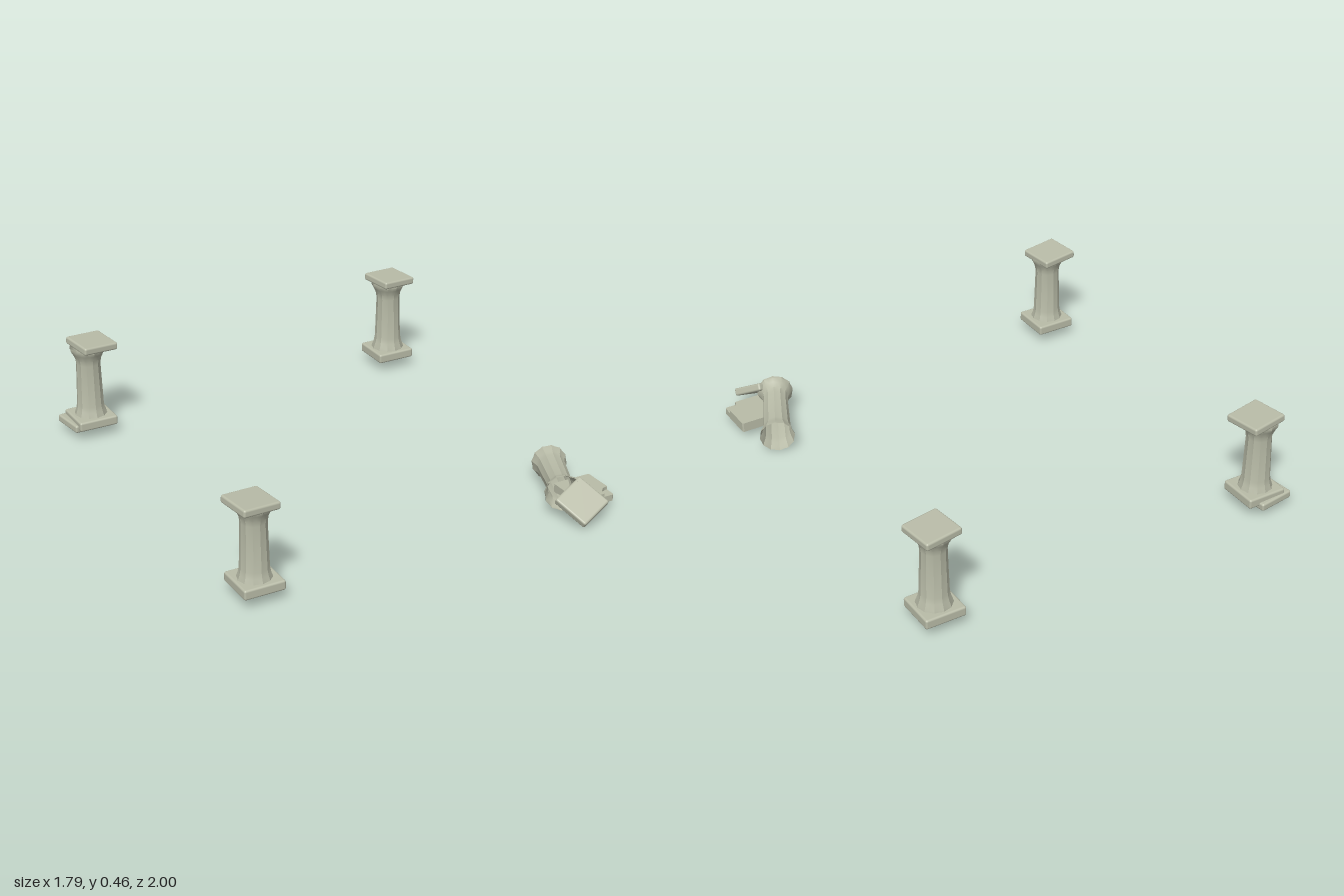
import * as THREE from 'three';
import { RoundedBoxGeometry } from 'three/addons/geometries/RoundedBoxGeometry.js';
import { toCreasedNormals } from 'three/addons/utils/BufferGeometryUtils.js';

const stone = new THREE.MeshStandardMaterial({ color: 0xb9bca8 });
const openStone = new THREE.MeshStandardMaterial({ color: 0xb9bca8, side: THREE.DoubleSide });

// Square slab with softened edges
function slab(name, size, thick, pos, rot = [0, 0, 0]) {
  const m = new THREE.Mesh(new RoundedBoxGeometry(size, thick, size, 2, 0.009), stone);
  m.name = name;
  m.position.set(...pos);
  m.rotation.set(...rot);
  return m;
}

// Hollow fluted shaft, flared at both ends, standing on its own origin
function shaftGeometry() {
  const profile = [
    [0.078, 0], [0.075, 0.015], [0.066, 0.04], [0.061, 0.065], [0.058, 0.16],
    [0.055, 0.265], [0.059, 0.29], [0.07, 0.315], [0.08, 0.332], [0.08, 0.345],
  ].map(([r, y]) => new THREE.Vector2(r, y));
  const geo = new THREE.LatheGeometry(profile, 24);
  const p = geo.attributes.position;
  for (let i = 0; i < p.count; i++) {
    const groove = 1 - 0.025 * (1 - Math.cos(12 * Math.atan2(p.getZ(i), p.getX(i)))) / 2 * 2;
    p.setX(i, p.getX(i) * groove);
    p.setZ(i, p.getZ(i) * groove);
  }
  return toCreasedNormals(geo, 0.6);
}

// Base slab whose upper layer has a bite out of one corner
function chippedBase(size, thick, pos) {
  const g = new THREE.Group();
  g.name = 'chippedBase';
  g.position.set(...pos);
  const h = size / 2, b = 0.05, c = 0.006;
  const layer = (bite, depth, y) => {
    const s = new THREE.Shape();
    s.moveTo(-h + c, -h);
    if (bite) {
      s.lineTo(h - b, -h);
      s.absarc(h, -h, b, Math.PI, Math.PI / 2, true);
    } else {
      s.lineTo(h - c, -h);
      s.lineTo(h, -h + c);
    }
    s.lineTo(h, h - c);
    s.lineTo(h - c, h);
    s.lineTo(-h + c, h);
    s.lineTo(-h, h - c);
    s.lineTo(-h, -h + c);
    s.closePath();
    const geo = new THREE.ExtrudeGeometry(s, { depth, bevelEnabled: false, curveSegments: 6 });
    const m = new THREE.Mesh(geo.rotateX(-Math.PI / 2), stone);
    m.name = bite ? 'chippedUpperLayer' : 'lowerLayer';
    m.position.y = y;
    g.add(m);
  };
  layer(false, thick * 0.65, -thick / 2);
  layer(true, thick * 0.35, thick * 0.15);
  return g;
}

export function createModel() {
  const model = new THREE.Group();
  model.name = 'ruinedColumns';
  const shaftGeo = shaftGeometry();

  // Three standing columns
  const columns = [
    { name: 'frontRightColumn', base: [-0.793, 0.068, 0.783], shaft: [-0.795, 0.07, 0.785], cap: [-0.806, 0.42, 0.785], tilt: [0, 0.11, -0.06] },
    { name: 'backLeftColumn', base: [0.792, 0.07, -0.877], shaft: [0.793, 0.085, -0.875], cap: [0.8, 0.442, -0.877], tilt: [0, 0.12, -0.05] },
    { name: 'backRightColumn', base: [-0.765, 0.07, -0.888], shaft: [-0.765, 0.075, -0.89], cap: [-0.745, 0.432, -0.885], tilt: [0.03, 0.14, -0.07] },
  ];
  for (const c of columns) {
    const g = new THREE.Group();
    g.name = c.name;
    const shaft = new THREE.Mesh(shaftGeo, openStone);
    shaft.name = 'shaft';
    shaft.position.set(...c.shaft);
    g.add(slab('base', 0.183, 0.044, c.base), shaft, slab('cap', 0.17, 0.034, c.cap, c.tilt));
    model.add(g);
  }

  // Extra shifted slab under one column
  model.add(slab('lowerSlab', 0.165, 0.035, [-0.798, 0.051, -0.91], [0, 0.12, -0.04]));

  // Collapsed column: chipped base, toppled shaft, leaning cap
  const fallen = new THREE.Group();
  fallen.name = 'fallenColumn';
  fallen.add(chippedBase(0.183, 0.044, [0.777, 0.053, 0.783]));

  const shaft = new THREE.Mesh(shaftGeo, openStone);
  shaft.name = 'toppledShaft';
  const foot = new THREE.Vector3(0.783, 0.077, 0.517);
  const axis = new THREE.Vector3(0.638, 0.103, 0.83).sub(foot).normalize();
  shaft.position.copy(foot);
  shaft.quaternion.setFromUnitVectors(new THREE.Vector3(0, 1, 0), axis);
  fallen.add(shaft);

  const cap = slab('leaningCap', 0.165, 0.034, [0.677, 0.087, 0.906]);
  const ex = new THREE.Vector3(0.155, 0.055, -0.045).normalize();
  const ey = new THREE.Vector3(0.055, -0.075, 0.125).cross(ex).normalize();
  const ez = ex.clone().cross(ey);
  cap.quaternion.setFromRotationMatrix(new THREE.Matrix4().makeBasis(ex, ey, ez));
  fallen.add(cap);
  model.add(fallen);

  return model;
}
